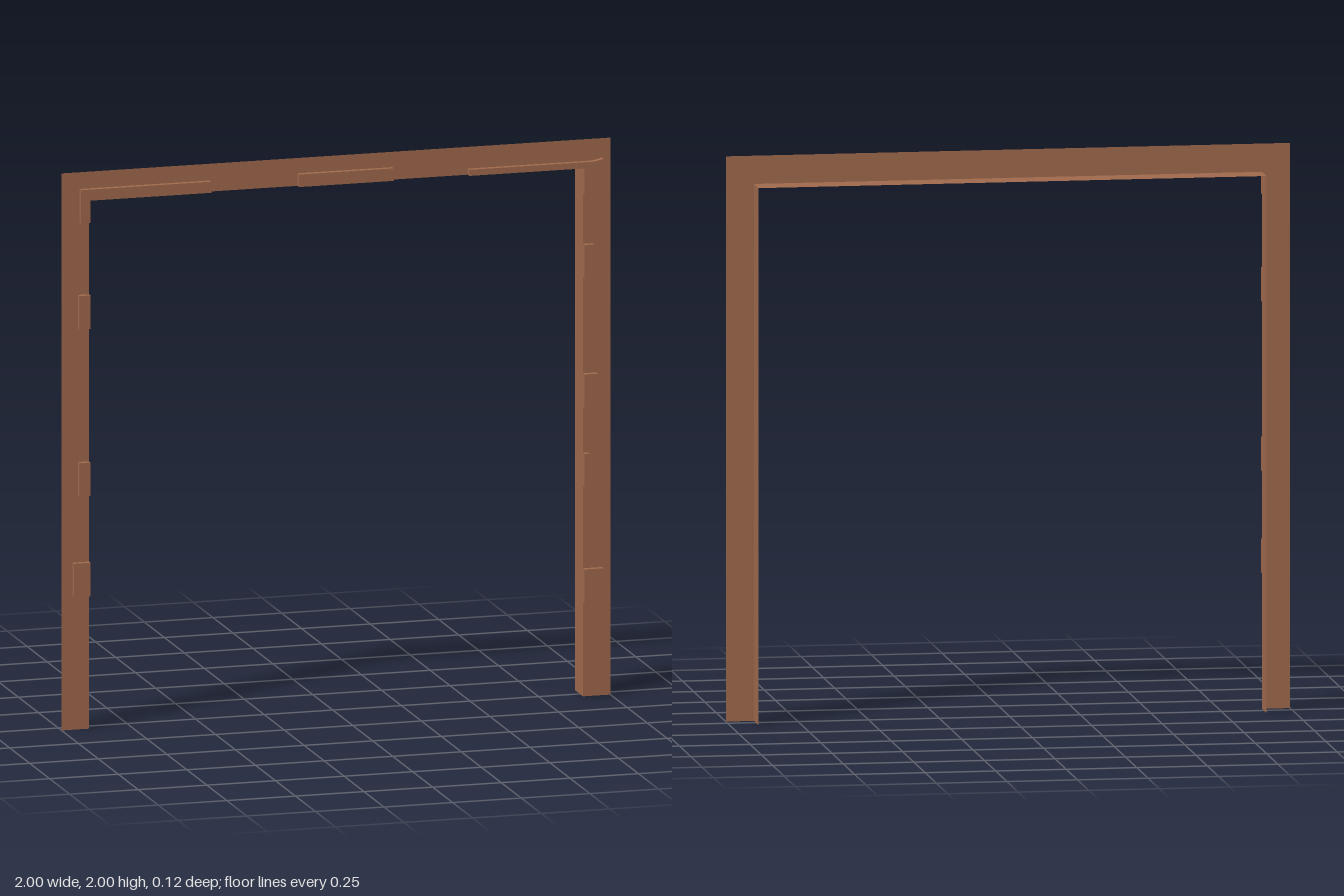
import * as THREE from 'three';

const FRONT = 0.04, DEPTH = 0.1, BRICK = 0.02;
const INNER = 0.9, TOP = 1.9;

function shapeFrom(points) {
  return new THREE.Shape(points.map(([x, y]) => new THREE.Vector2(x, y)));
}

export function createModel() {
  const model = new THREE.Group();
  model.name = 'doorSurround';
  const clay = new THREE.MeshStandardMaterial({ color: 0xa36b4e, side: THREE.DoubleSide });
  clay.name = 'clay brown';

  function add(name, geometry, parent = model) {
    const mesh = new THREE.Mesh(geometry, clay);
    mesh.name = name;
    parent.add(mesh);
    return mesh;
  }

  // Flat facing around the opening
  add('facing', new THREE.ShapeGeometry(shapeFrom([
    [-1, 0], [-INNER, 0], [-INNER, TOP], [INNER, TOP],
    [INNER, 0], [1, 0], [1, 2], [-1, 2],
  ]))).position.z = FRONT;

  // Thin sheets lining the opening, running back from the facing
  const liningZ = FRONT - DEPTH / 2;
  for (const side of [-1, 1]) {
    const jamb = add(side < 0 ? 'rightJambLining' : 'leftJambLining', new THREE.PlaneGeometry(DEPTH, TOP));
    jamb.rotation.y = -side * Math.PI / 2;
    jamb.position.set(side * INNER, TOP / 2, liningZ);
  }
  const head = add('headLining', new THREE.PlaneGeometry(2 * INNER, DEPTH));
  head.rotation.x = Math.PI / 2;
  head.position.set(0, TOP, liningZ);

  // Raised bricks along the inner edge
  const bricks = new THREE.Group();
  bricks.name = 'bricks';
  model.add(bricks);
  function addBrick(name, points) {
    const geometry = new THREE.ExtrudeGeometry(shapeFrom(points), { depth: BRICK, bevelEnabled: false });
    add(name, geometry, bricks).position.z = FRONT;
  }

  // Jamb bricks: outer x, bottom y
  const jambBricks = [
    [-0.94, 1.44], [-0.94, 0.84], [-0.96, 0.48],
    [0.935, 1.505], [0.95, 1.04], [0.92, 0.755], [0.97, 0.34],
  ];
  for (const [x, y] of jambBricks) {
    const inner = Math.sign(x) * INNER;
    addBrick('jambBrick', [[inner, y], [x, y], [x, y + 0.12], [inner, y + 0.12]]);
  }

  // Head and corner bricks
  addBrick('headBrick', [[-0.14, TOP], [0.205, TOP], [0.205, 1.945], [-0.14, 1.945]]);
  addBrick('rightCornerBrick', [
    [-0.935, 1.82], [-INNER, 1.82], [-INNER, TOP], [-0.46, TOP], [-0.46, 1.94], [-0.935, 1.94],
  ]);
  addBrick('leftCornerBrick', [
    [0.97, 1.805], [0.97, 1.93], [0.935, 1.922], [0.48, 1.922], [0.48, TOP], [INNER, TOP], [INNER, 1.805],
  ]);

  return model;
}
